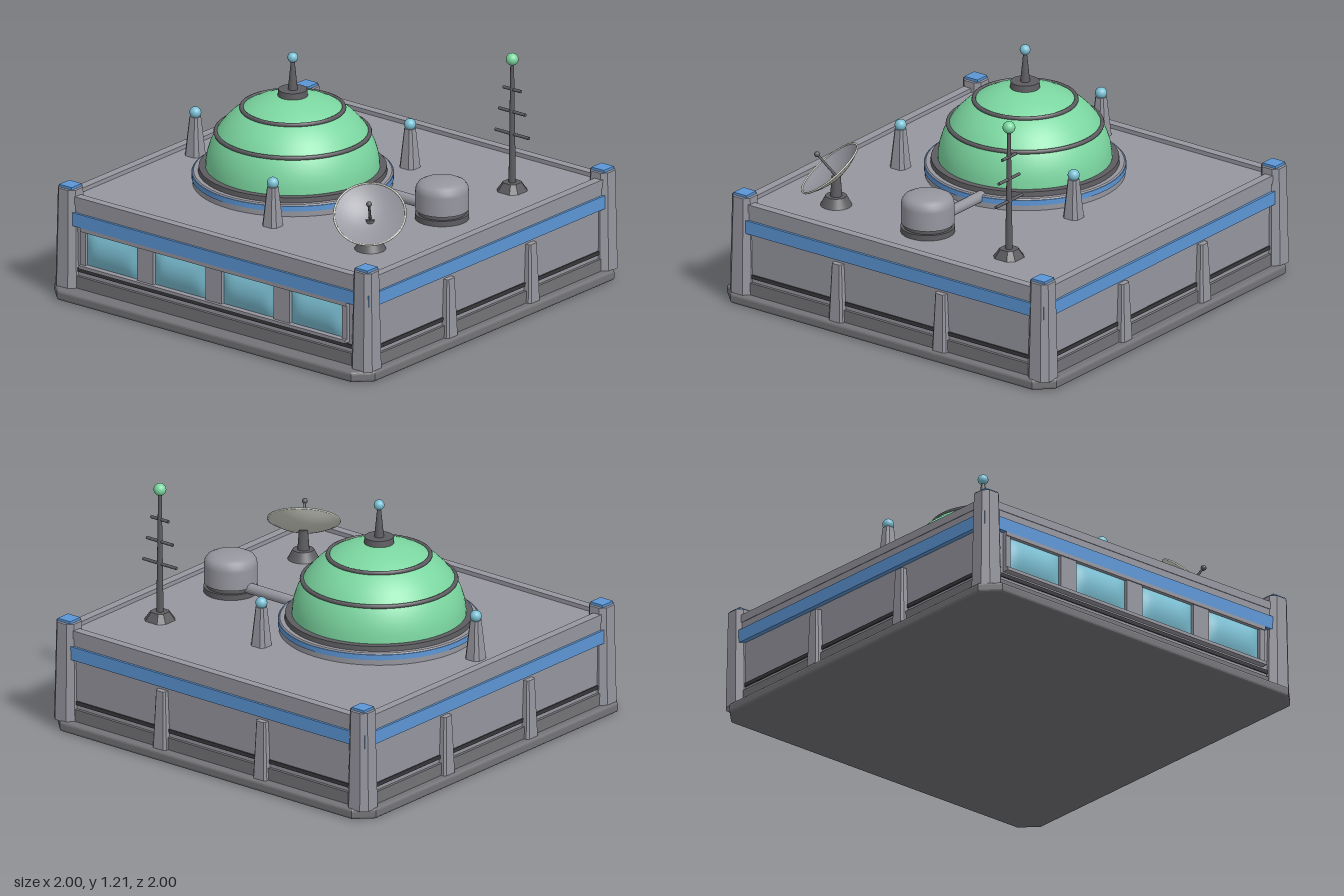
import * as THREE from 'three';

const paint = (name, color) => Object.assign(new THREE.MeshStandardMaterial({ color }), { name });

export function createModel() {
  const wall = paint('wall grey', 0x96969f);
  const dark = paint('dark grey', 0x5d5d61);
  const slab = paint('foundation grey', 0x747478);
  const line = paint('groove charcoal', 0x38383c);
  const blue = paint('trim blue', 0x5c96d6);
  const green = paint('dome green', 0x7bd6a0);
  const glass = paint('glass blue', 0x7cc0d4);
  const pale = paint('dish off-white', 0xcfcfc6);
  pale.side = THREE.DoubleSide;

  const model = new THREE.Group();
  model.name = 'domedOutpost';
  const ZC = -0.0175; // centre of the building in z

  const add = (name, geo, mat, x = 0, y = 0, z = 0, parent = model) => {
    const m = new THREE.Mesh(geo, mat);
    m.name = name;
    m.position.set(x, y, z);
    parent.add(m);
    return m;
  };
  // Box given by its bottom and top heights
  const block = (name, mat, w, d, y0, y1, x = 0, z = ZC) =>
    add(name, new THREE.BoxGeometry(w, y1 - y0, d), mat, x, (y0 + y1) / 2, z);
  // Cylinder or cone standing on y
  const drum = (name, mat, r0, r1, h, x, y, z, parent = model, n = 32) =>
    add(name, new THREE.CylinderGeometry(r1, r0, h, n), mat, x, y + h / 2, z, parent);
  const ball = (name, mat, r, x, y, z, parent = model) =>
    add(name, new THREE.SphereGeometry(r, 20, 14), mat, x, y, z, parent);
  const lathe = (pts, n = 48) => new THREE.LatheGeometry(pts.map(p => new THREE.Vector2(...p)), n);
  // Rectangle with cut corners
  const cutRect = (w, d, c) => {
    const a = w / 2, b = d / 2;
    return new THREE.Shape([[a - c, -b], [a, c - b], [a, b - c], [a - c, b], [c - a, b], [-a, b - c], [-a, c - b], [c - a, -b]]
      .map(p => new THREE.Vector2(...p)));
  };
  // Cut-corner prism standing on y = 0, narrowing to `taper` at the top
  const taperPost = (w, d, c, h, taper) => {
    const g = new THREE.ExtrudeGeometry(cutRect(w, d, c), { depth: h, bevelEnabled: false }).rotateX(-Math.PI / 2);
    const p = g.attributes.position;
    for (let i = 0; i < p.count; i++) {
      const s = 1 + (taper - 1) * p.getY(i) / h;
      p.setX(i, p.getX(i) * s);
      p.setZ(i, p.getZ(i) * s);
    }
    g.computeVertexNormals();
    return g;
  };

  // Foundation with bevelled edges
  add('foundation', new THREE.ExtrudeGeometry(cutRect(1.97, 1.97, 0.075), {
    depth: 0.025, bevelThickness: 0.014, bevelSize: 0.015, bevelSegments: 3,
  }).rotateX(-Math.PI / 2), slab, 0, 0.014, 0);

  // Main block, plinth and trim
  block('mainBlock', wall, 1.89, 1.845, 0.05, 0.5);
  block('plinth', slab, 1.92, 1.875, 0.05, 0.115);
  block('wallGroove', line, 1.902, 1.857, 0.135, 0.155);
  block('blueBand', blue, 1.94, 1.895, 0.372, 0.44);
  block('upperWall', wall, 1.915, 1.87, 0.44, 0.482);
  for (const s of [-1, 1]) {
    block('sideParapet', wall, 0.045, 1.78, 0.48, 0.521, s * 0.938);
    block('endParapet', wall, 1.8, 0.045, 0.48, 0.521, 0, ZC + s * 0.916);
  }

  // Corner towers with blue caps
  for (const sx of [-1, 1]) for (const sz of [-1, 1]) {
    const x = sx * 0.922, z = ZC + sz * 0.905;
    add('cornerTower', taperPost(0.13, 0.13, 0.03, 0.505, 0.84), wall, x, 0.048, z);
    block('towerCap', blue, 0.078, 0.078, 0.55, 0.566, x, z);
  }

  // Tapered buttresses on the sides and the back
  for (const s of [-1, 1]) {
    for (const side of [-1, 1])
      add('sideButtress', taperPost(0.07, 0.085, 0.012, 0.3, 0.68), wall, side * 0.95, 0.05, ZC + s * 0.314);
    add('backButtress', taperPost(0.085, 0.07, 0.012, 0.3, 0.68), wall, s * 0.315, 0.05, -0.945);
  }

  // Front windows with bulging panes between pillars
  block('windowHeader', wall, 1.66, 0.04, 0.353, 0.372, 0, 0.91);
  block('windowSill', wall, 1.66, 0.05, 0.165, 0.182, 0, 0.915);
  for (let i = 0; i < 4; i++) {
    const x = -0.639 + i * 0.4245;
    const pane = new THREE.PlaneGeometry(0.32, 0.175, 12, 10), p = pane.attributes.position;
    for (let k = 0; k < p.count; k++) {
      const u = p.getX(k) / 0.16, v = p.getY(k) / 0.0875;
      p.setZ(k, 0.022 * (1 - v * v) * (1 - u ** 6));
    }
    pane.computeVertexNormals();
    add('windowPane', pane, glass, x, 0.268, 0.908);
    if (i < 3) block('windowPillar', wall, 0.1, 0.03, 0.18, 0.355, x + 0.212, 0.909);
  }
  for (const s of [-1, 1]) block('windowEndPillar', wall, 0.03, 0.03, 0.18, 0.355, s * 0.815, 0.909);

  // Dome on its stepped ring
  const dome = new THREE.Group();
  dome.name = 'dome';
  dome.position.set(-0.217, 0, 0.052);
  model.add(dome);
  drum('domeFooting', wall, 0.485, 0.485, 0.03, 0, 0.498, 0, dome, 64);
  drum('domeBlueRing', blue, 0.49, 0.49, 0.027, 0, 0.528, 0, dome, 64);
  drum('domeRingTop', wall, 0.486, 0.48, 0.006, 0, 0.555, 0, dome, 64);
  drum('domeCollar', dark, 0.458, 0.455, 0.026, 0, 0.56, 0, dome, 64);
  const domeR = t => 0.423 * Math.cos(t), domeY = t => 0.58 + 0.375 * Math.sin(t);
  add('domeShell', lathe(Array.from({ length: 15 }, (_, i) => {
    const t = i / 14 * Math.PI / 2;
    return [Math.max(0, domeR(t)), domeY(t)];
  }), 64), green, 0, 0, 0, dome);
  for (const y of [0.76, 0.885]) {
    const t = Math.asin((y - 0.58) / 0.375);
    add('domeRib', new THREE.TorusGeometry(domeR(t) + 0.002, 0.011, 8, 64).rotateX(Math.PI / 2), dark, 0, y, 0, dome);
  }
  drum('domeCrown', dark, 0.074, 0.07, 0.038, 0, 0.942, 0, dome);
  drum('domeSpire', dark, 0.024, 0.009, 0.15, 0, 0.978, 0, dome, 16);
  ball('spireBall', glass, 0.026, 0, 1.143, 0, dome);

  // Three beacon posts spaced evenly around the dome
  for (let i = 0; i < 3; i++) {
    const a = Math.PI + i * Math.PI * 2 / 3;
    const x = -0.217 + 0.607 * Math.cos(a), z = 0.052 + 0.607 * Math.sin(a);
    add('beaconPost', taperPost(0.088, 0.088, 0.018, 0.2, 0.55), wall, x, 0.498, z);
    ball('beaconLight', glass, 0.029, x, 0.718, z);
  }

  // Antenna mast with three crossbars
  const ax = 0.677, az = -0.53;
  add('antennaFoot', taperPost(0.135, 0.135, 0.03, 0.045, 0.6), dark, ax, 0.498, az);
  drum('antennaMast', dark, 0.018, 0.009, 0.63, ax, 0.53, az, model, 12);
  for (const [y, len] of [[0.79, 0.21], [0.905, 0.165], [1.02, 0.11]])
    add('antennaCrossbar', new THREE.CylinderGeometry(0.008, 0.008, len, 10).rotateZ(Math.PI / 2), dark, ax, y, az);
  ball('antennaLight', green, 0.031, ax, 1.175, az);

  // Storage tank and its pipe to the dome
  drum('tankBase', dark, 0.132, 0.132, 0.03, 0.655, 0.498, -0.02);
  drum('tankWaist', dark, 0.118, 0.118, 0.03, 0.655, 0.525, -0.02);
  add('tankBody', lathe([[0, 0.548], [0.13, 0.548], [0.13, 0.548], [0.13, 0.64], [0.127, 0.662], [0.115, 0.68], [0.09, 0.692], [0.05, 0.699], [0, 0.701]]),
    wall, 0.655, 0, -0.02);
  add('tankPipe', new THREE.CylinderGeometry(0.027, 0.027, 0.36, 20).rotateZ(Math.PI / 2), wall, 0.38, 0.545, -0.025);

  // Dish on a pedestal, tilted up towards the front left
  drum('dishFoot', dark, 0.078, 0.052, 0.05, 0.658, 0.498, 0.534);
  drum('dishNeck', dark, 0.03, 0.022, 0.11, 0.658, 0.54, 0.534, model, 16);
  const dish = new THREE.Group();
  dish.name = 'dish';
  dish.position.set(0.658, 0.65, 0.534);
  dish.quaternion.setFromUnitVectors(new THREE.Vector3(0, 1, 0), new THREE.Vector3(0.37, 0.77, 0.52).normalize());
  model.add(dish);
  const bowl = Array.from({ length: 9 }, (_, i) => [0.174 * i / 8, 0.052 * (i / 8) ** 2]);
  add('dishBack', lathe(bowl), pale, 0, -0.006, 0, dish);
  add('dishFace', lathe([...bowl].reverse()), wall, 0, 0, 0, dish);
  add('dishRim', new THREE.TorusGeometry(0.174, 0.005, 8, 48).rotateX(Math.PI / 2), pale, 0, 0.05, 0, dish);
  drum('dishFeed', dark, 0.007, 0.006, 0.14, 0, 0, 0, dish, 10);
  ball('dishFeedTip', dark, 0.014, 0, 0.145, 0, dish);

  return model;
}
